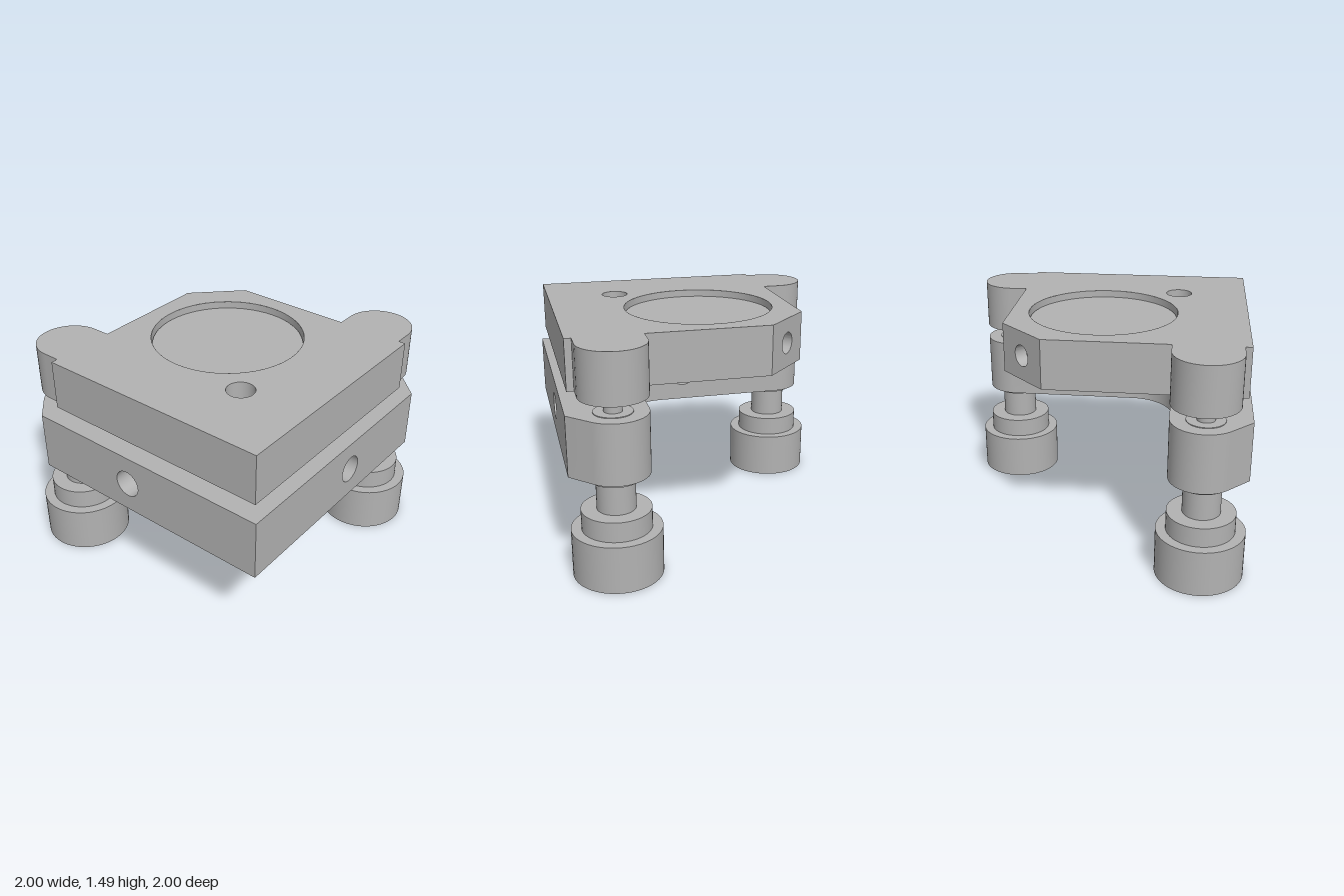
import * as THREE from 'three';
import { mergeGeometries, toCreasedNormals } from 'three/addons/utils/BufferGeometryUtils.js';

const metal = new THREE.MeshStandardMaterial({ color: 0xb2b2b2, side: THREE.DoubleSide });
metal.name = 'grey metal';

const deg = Math.PI / 180;

// Points [x, z] along an arc
function arc(cx, cz, r, from, to, n = 28) {
  return Array.from({ length: n + 1 }, (_, i) => {
    const a = (from + (to - from) * i / n) * deg;
    return [cx + r * Math.cos(a), cz + r * Math.sin(a)];
  });
}

function circleHole(x, y, r) {
  return new THREE.Path().absarc(x, y, r, 0, Math.PI * 2, true);
}

// Open wall of a bore between two points
function bore(a, b, r) {
  const dir = b.clone().sub(a);
  const g = new THREE.CylinderGeometry(r, r, dir.length(), 48, 1, true);
  g.applyQuaternion(new THREE.Quaternion().setFromUnitVectors(
    new THREE.Vector3(0, 1, 0), dir.normalize()));
  return g.translate((a.x + b.x) / 2, (a.y + b.y) / 2, (a.z + b.z) / 2);
}

// Plate with vertical holes {x, z, r} and sideways bores {from, to, r} at mid height
function plate(name, outline, y0, y1, holes, bores) {
  const parts = [];
  const mid = (y0 + y1) / 2;
  // top and bottom faces
  for (const s of [-1, 1]) {
    const shape = new THREE.Shape(outline.map(([x, z]) => new THREE.Vector2(x, s * z)));
    holes.forEach(h => shape.holes.push(circleHole(h.x, s * h.z, h.r)));
    parts.push(new THREE.ShapeGeometry(shape, 32).rotateX(s * Math.PI / 2)
      .translate(0, s < 0 ? y1 : y0, 0));
  }
  // side walls, pierced where a bore ends on them
  outline.forEach(([x, z], i) => {
    const [x2, z2] = outline[(i + 1) % outline.length];
    const len = Math.hypot(x2 - x, z2 - z);
    if (len < 1e-5) return;
    const dx = (x2 - x) / len, dz = (z2 - z) / len;
    const shape = new THREE.Shape([[0, y0], [len, y0], [len, y1], [0, y1]]
      .map(p => new THREE.Vector2(...p)));
    for (const b of bores) for (const [px, pz] of [b.from, b.to]) {
      const u = (px - x) * dx + (pz - z) * dz;
      const off = Math.abs((px - x) * dz - (pz - z) * dx);
      if (off < 0.01 && u > b.r && u < len - b.r) shape.holes.push(circleHole(u, mid, b.r));
    }
    parts.push(new THREE.ShapeGeometry(shape, 24).applyMatrix4(new THREE.Matrix4().makeBasis(
      new THREE.Vector3(dx, 0, dz), new THREE.Vector3(0, 1, 0),
      new THREE.Vector3(-dz, 0, dx)).setPosition(x, 0, z)));
  });
  // hole linings
  holes.forEach(h => parts.push(bore(
    new THREE.Vector3(h.x, y0, h.z), new THREE.Vector3(h.x, y1, h.z), h.r)));
  bores.forEach(b => parts.push(bore(
    new THREE.Vector3(b.from[0], mid, b.from[1]), new THREE.Vector3(b.to[0], mid, b.to[1]), b.r)));
  const mesh = new THREE.Mesh(toCreasedNormals(mergeGeometries(parts), 30 * deg), metal);
  mesh.name = name;
  return mesh;
}

function cylinder(name, r, y0, y1, x = 0, z = 0) {
  const mesh = new THREE.Mesh(new THREE.CylinderGeometry(r, r, y1 - y0, 56), metal);
  mesh.position.set(x, (y0 + y1) / 2, z);
  mesh.name = name;
  return mesh;
}

// Adjuster: knob, collar, shaft, flange and screw tip
function adjuster(name, x, z) {
  const g = new THREE.Group();
  g.name = name;
  g.position.set(x, 0, z);
  g.add(
    cylinder('knob', 0.285, 0, 0.31),
    cylinder('knobCollar', 0.22, 0.31, 0.44),
    cylinder('shaft', 0.122, 0.44, 1.065),
    cylinder('flange', 0.163, 0.64, 0.675),
    cylinder('screwTip', 0.057, 1.06, 1.165));
  return g;
}

export function createModel() {
  const model = new THREE.Group();
  model.name = 'adjustableMount';

  // Lower L-shaped plate
  const lower = [
    [-0.724, 1], [1, 1], [1, -0.724],
    ...arc(0.71, -0.71, 0.215, -45, -180),
    ...arc(0.185, 0.185, 0.31, 0, 90),
    ...arc(-0.71, 0.71, 0.215, -90, -225),
  ];
  const cornerHole = { x: 0.505, z: 0.505, r: 0.088 };
  model.add(plate('lowerPlate', lower, 0.67, 1.06, [cornerHole], [
    { from: [0.02, 1], to: [0.02, 0.495], r: 0.088 },
    { from: [1, 0.02], to: [0.495, 0.02], r: 0.088 },
  ]));

  // Upper plate with round ears and a clipped corner
  const upper = [
    [-0.595, 0.97], [0.97, 0.97], [0.97, -0.59], [0.925, -0.59],
    ...arc(0.71, -0.71, 0.215, 0, -180),
    [0.495, -0.59], [-0.305, -0.59], [-0.595, -0.3], [-0.595, 0.495],
    ...arc(-0.71, 0.71, 0.215, -90, -270),
    [-0.595, 0.925],
  ];
  model.add(plate('upperPlate', upper, 1.16, 1.485,
    [cornerHole, { x: 0.02, z: 0.02, r: 0.492 }],
    [{ from: [-0.45, -0.445], to: [-0.33, -0.325], r: 0.07 }]));

  // Round disc sitting in the upper plate
  model.add(cylinder('disc', 0.486, 1.2, 1.44, 0.02, 0.02));

  // Set screw in the clipped corner
  const setScrew = cylinder('setScrew', 0.069, 0, 0.09);
  setScrew.quaternion.setFromUnitVectors(
    new THREE.Vector3(0, 1, 0), new THREE.Vector3(1, 0, 1).normalize());
  setScrew.position.set(-0.36, 1.3225, -0.355);
  model.add(setScrew);

  // Adjusters, springs and pivot ball between the plates
  model.add(adjuster('leftAdjuster', -0.715, 0.715), adjuster('backAdjuster', 0.715, -0.715));
  model.add(cylinder('frontSpring', 0.057, 1.05, 1.17, -0.255, 0.715));
  model.add(cylinder('sideSpring', 0.057, 1.05, 1.17, 0.715, -0.255));
  const ball = new THREE.Mesh(new THREE.SphereGeometry(0.059, 32, 20), metal);
  ball.name = 'pivotBall';
  ball.position.set(0.715, 1.11, 0.715);
  model.add(ball);

  return model;
}
